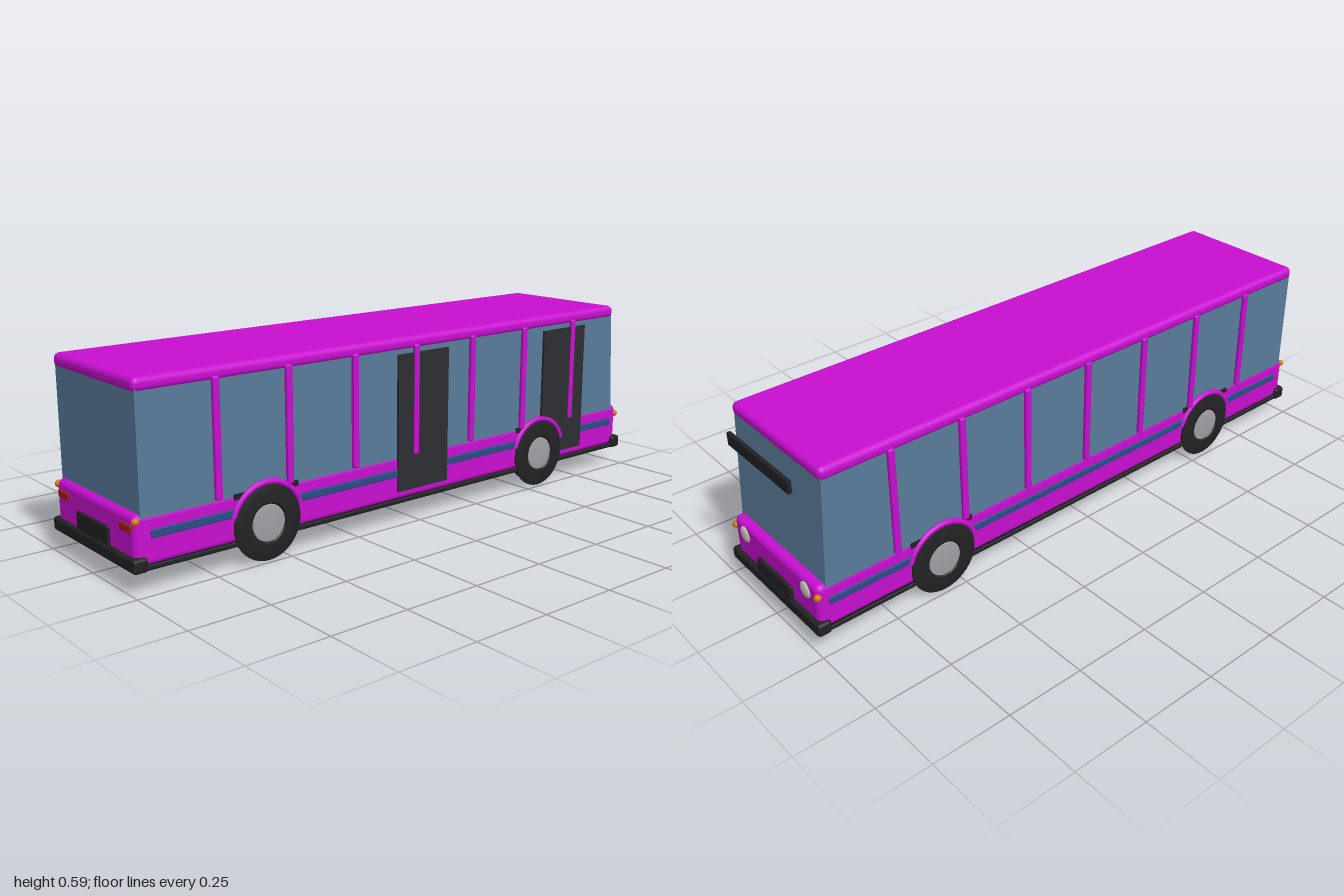
import * as THREE from 'three';
import { RoundedBoxGeometry } from 'three/addons/geometries/RoundedBoxGeometry.js';
import { toCreasedNormals } from 'three/addons/utils/BufferGeometryUtils.js';

const mat = (color) => new THREE.MeshStandardMaterial({ color });
const PAINT = mat(0xc80fd0), GLASS = mat(0x5a7c9c), BLACK = mat(0x222224), FLOOR = mat(0x151515);
const DOOR = mat(0x2c2e31), BLUE = mat(0x2b4c86), RED = mat(0xa51c1c), AMBER = mat(0xd07a10);
const METAL = mat(0xa0a0a4), LAMP = mat(0xc4c4b4);

export function createModel() {
  const bus = new THREE.Group();
  bus.name = 'bus';

  const add = (name, geometry, material) => {
    const mesh = new THREE.Mesh(geometry, material);
    mesh.name = name;
    bus.add(mesh);
    return mesh;
  };
  // Box given by its limits on each axis, with optional rounding
  const box = (name, material, [x0, x1], [y0, y1], [z0, z1], r = 0) => {
    const size = [x1 - x0, y1 - y0, z1 - z0];
    const g = r ? new RoundedBoxGeometry(...size, 3, r) : new THREE.BoxGeometry(...size);
    g.translate((x0 + x1) / 2, (y0 + y1) / 2, (z0 + z1) / 2);
    return add(name, g, material);
  };
  // Range on one side of the bus: s = 1 or -1
  const side = (s, a, b) => (s > 0 ? [a, b] : [-b, -a]);

  // Lower body, floor and roof
  box('lowerBody', PAINT, [-0.228, 0.228], [0.072, 0.22], [-0.985, 0.988], 0.02);
  box('floor', FLOOR, [-0.231, 0.231], [0.064, 0.08], [-0.975, 0.975]);
  box('roof', PAINT, [-0.231, 0.231], [0.545, 0.587], [-0.94, 0.975], 0.018);

  // Glasshouse, with the end at -z leaning inward
  const glass = box('windows', GLASS, [-0.226, 0.226], [0.2, 0.56], [-0.957, 0.968]);
  const p = glass.geometry.attributes.position;
  for (let i = 0; i < p.count; i++) {
    if (p.getY(i) > 0.4 && p.getZ(i) < 0) p.setZ(i, -0.933);
  }
  glass.geometry.computeVertexNormals();

  // Wheel profile: tread, thin outer flange, sidewall, recessed hub seat
  const wheelProfile = [[0, 0.183], [0.09, 0.183], [0.098, 0.19], [0.098, 0.228], [0.113, 0.228],
    [0.113, 0.234], [0.092, 0.24], [0.06, 0.24], [0.055, 0.234], [0, 0.234]]
    .map(([r, y]) => new THREE.Vector2(r, y));
  const hubProfile = [[0.056, 0.232], [0.054, 0.238], [0.04, 0.239], [0, 0.241]]
    .map(([r, y]) => new THREE.Vector2(r, y));

  for (const s of [1, -1]) {
    // Window pillars
    for (let i = 0; i < 7; i++) {
      const z = 0.728 - i * 0.2413;
      box('windowPillar', PAINT, side(s, 0.215, 0.238), [0.212, 0.56], [z - 0.011, z + 0.011], 0.006);
    }

    // Blue side stripe with its painted ridges
    box('sideStripe', BLUE, side(s, 0.22, 0.232), [0.15, 0.175], [-0.95, 0.94], 0.004);
    box('sideSill', BLACK, side(s, 0.215, 0.234), [0.064, 0.08], [-0.96, 0.96], 0.005);

    for (const z of [0.568, -0.565]) {
      // Wheel, hub and arch
      for (const [name, profile, m] of [['tyre', wheelProfile, BLACK], ['hub', hubProfile, METAL]]) {
        const g = toCreasedNormals(new THREE.LatheGeometry(profile, 40), 0.6);
        g.rotateZ(-s * Math.PI / 2).translate(0, 0.113, z);
        add(name, g, m);
      }
      const arch = new THREE.TorusGeometry(0.12, 0.009, 10, 32, Math.PI * 0.8);
      arch.rotateZ(Math.PI * 0.1).rotateY(Math.PI / 2).translate(s * 0.229, 0.113, z);
      add('wheelArch', arch, PAINT);
      box('archLining', BLACK, side(s, 0.2, 0.23), [0.2, 0.217], [z - 0.11, z + 0.11]);
    }

    // Lamps at both ends
    box('tailLight', RED, side(s, 0.148, 0.212), [0.167, 0.192], [0.975, 0.992], 0.005);
    for (const [y, z] of [[0.203, 0.982], [0.187, -0.982]]) {
      add('indicator', new THREE.SphereGeometry(0.011, 16, 12).translate(s * 0.223, y, z), AMBER);
    }
    const lamp = new THREE.SphereGeometry(0.026, 24, 16).scale(1, 1, 0.35);
    add('headlight', lamp.translate(s * 0.165, 0.182, -0.984), LAMP);
  }

  // Doors on the left side
  for (const [z0, z1] of [[-0.13, 0.078], [-0.782, -0.575]]) {
    box('door', DOOR, [0.215, 0.234], [0.102, 0.535], [z0, z1]);
  }

  // Bumpers and number plate panels
  for (const s of [1, -1]) {
    box('bumper', BLACK, [-0.24, 0.24], [0.062, 0.104], side(s, 0.955, 1), 0.01);
    const drop = s > 0 ? 0 : -0.01;
    box('platePanel', BLACK, [-0.091, 0.091], [0.103 + drop, 0.157 + drop], side(s, 0.97, 0.997), 0.004);
  }

  // Destination sign
  box('destinationSign', BLACK, [-0.16, 0.16], [0.5, 0.54], [-0.995, -0.983]);

  // Underside parts
  box('engineTray', FLOOR, [-0.065, 0.065], [0.053, 0.07], [0.41, 0.56]);
  box('gearboxTray', FLOOR, [-0.1, 0.03], [0.058, 0.07], [-0.55, -0.45]);
  const muffler = new THREE.CylinderGeometry(0.013, 0.013, 0.1, 20).rotateX(Math.PI / 2);
  add('muffler', muffler.translate(0.103, 0.067, 0.118), BLACK);

  return bus;
}
